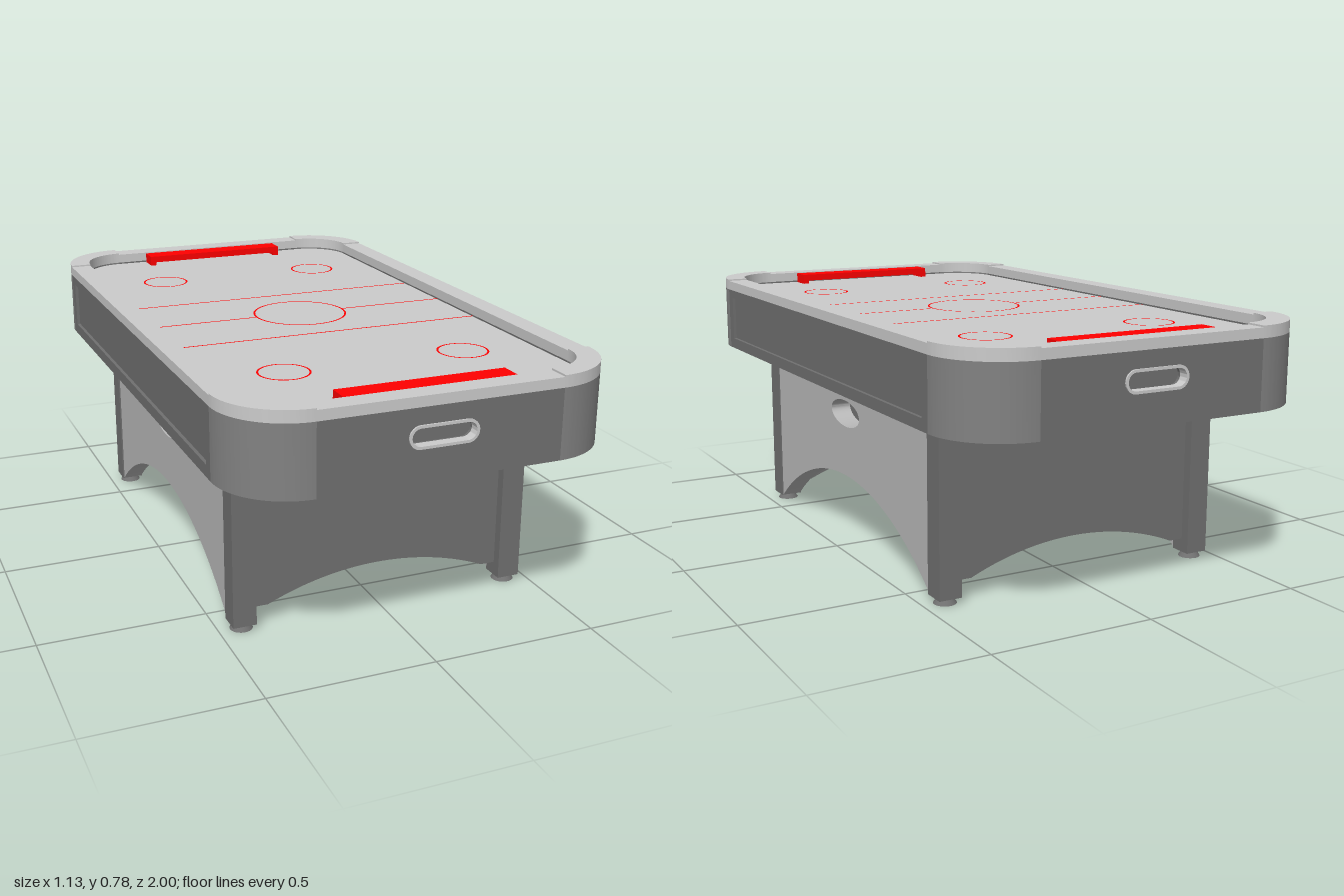
import * as THREE from 'three';
import { toCreasedNormals } from 'three/addons/utils/BufferGeometryUtils.js';

const paint = (color) => new THREE.MeshStandardMaterial({ color });
const light = paint(0xcccccc), skirtGrey = paint(0xb8b8b8);
const cornerGrey = paint(0x828282), dark = paint(0x707070), red = paint(0xff0000);

// Table outline: corner centres, radii and heights
const CX = 0.357, CZ = 0.785, R_OUT = 0.21, R_IN = 0.143, THICK = R_OUT - R_IN;
const Y_BOTTOM = 0.538, Y_CAP = 0.745, Y_FIELD = 0.74;
const CORNERS = [[1, 1], [-1, 1], [-1, -1], [1, -1]];

export function createModel() {
  const model = new THREE.Group();

  const add = (name, geometry, material, x = 0, y = 0, z = 0, parent = model) => {
    const mesh = new THREE.Mesh(geometry, material);
    mesh.name = name;
    mesh.position.set(x, y, z);
    parent.add(mesh);
  };
  const box = (name, material, w, h, d, x, y, z, parent) =>
    add(name, new THREE.BoxGeometry(w, h, d), material, x, y, z, parent);
  const extrude = (shape, depth) => toCreasedNormals(
    new THREE.ExtrudeGeometry(shape, { depth, bevelEnabled: false, curveSegments: 24 }), 0.5);
  // Plan shapes are drawn in x / -z and raised along y
  const raise = (shape, height) => extrude(shape, height).rotateX(-Math.PI / 2);

  const rect = (Type, w, y0, y1) => new Type([
    new THREE.Vector2(-w, y0), new THREE.Vector2(w, y0),
    new THREE.Vector2(w, y1), new THREE.Vector2(-w, y1)]);
  const stadium = (Type, w, r, cy) => {
    const s = new Type();
    s.absarc(w - r, cy, r, -Math.PI / 2, Math.PI / 2, false);
    s.absarc(r - w, cy, r, Math.PI / 2, Math.PI * 1.5, false);
    s.closePath();
    return s;
  };
  // Skirt board whose lower edge is an arch between two short shoulders
  const archBoard = (width, span, base, top) => {
    const rise = top - base, r = (span * span + rise * rise) / (2 * rise);
    const half = Math.asin(span / r);
    const s = new THREE.Shape();
    s.moveTo(-width, Y_BOTTOM);
    s.lineTo(-width, base);
    s.absarc(0, top - r, r, Math.PI / 2 + half, Math.PI / 2 - half, true);
    s.lineTo(width, base);
    s.lineTo(width, Y_BOTTOM);
    s.closePath();
    return s;
  };

  // Playing bed with rounded corners, and the boards under the aprons
  const bed = new THREE.Shape();
  CORNERS.forEach(([sx, sy], k) =>
    bed.absarc(sx * CX, sy * CZ, R_IN, k * Math.PI / 2, (k + 1) * Math.PI / 2, false));
  bed.closePath();
  add('playingBed', raise(bed, Y_FIELD - Y_BOTTOM), light, 0, Y_BOTTOM, 0);
  box('undersideLong', light, 2 * CX, 0.002, 2 * (CZ + R_OUT) - 0.008, 0, Y_BOTTOM, 0);
  box('undersideWide', light, 2 * (CX + R_OUT) - 0.008, 0.002, 2 * CZ, 0, Y_BOTTOM, 0);

  // Rounded corner blocks and their slightly taller caps
  CORNERS.forEach(([sx, sy], k) => {
    const a = k * Math.PI / 2, b = a + Math.PI / 2;
    const sector = new THREE.Shape();
    sector.absarc(sx * CX, sy * CZ, R_OUT, a, b, false);
    sector.absarc(sx * CX, sy * CZ, R_IN, b, a, true);
    sector.closePath();
    add('cornerBlock', raise(sector, Y_CAP - Y_BOTTOM), cornerGrey, 0, Y_BOTTOM, 0);
    add('cornerCap', raise(sector, 0.035), light, 0, Y_CAP, 0);
  });

  // End assembly, built facing +z: apron with handle slot, rail, goal, skirt
  const makeEnd = () => {
    const end = new THREE.Group();
    const zIn = CZ + R_IN, slotY = 0.664;
    const apron = rect(THREE.Shape, CX, Y_BOTTOM, Y_CAP);
    apron.holes.push(stadium(THREE.Path, 0.096, 0.028, slotY));
    add('endApron', extrude(apron, THICK), dark, 0, 0, zIn, end);
    box('endRail', light, 2 * CX, 0.03, THICK, 0, Y_CAP + 0.015, zIn + THICK / 2, end);

    const rim = stadium(THREE.Shape, 0.102, 0.033, slotY);
    rim.holes.push(stadium(THREE.Path, 0.094, 0.025, slotY));
    add('handleRim', extrude(rim, 0.03), light, 0, 0, 0.97, end);
    add('handleRecess', extrude(stadium(THREE.Shape, 0.096, 0.028, slotY), 0.03), dark, 0, 0, zIn, end);

    // Goal bridge on two short posts
    box('goalBar', red, 0.508, 0.022, 0.067, 0, 0.762, 0.889, end);
    for (const s of [-1, 1])
      box('goalPost', red, 0.02, 0.014, 0.067, s * 0.244, 0.746, 0.889, end);

    add('endSkirt', extrude(archBoard(0.4, 0.35, 0.061, 0.134), 0.03), dark, 0, 0, 0.592, end);
    return end;
  };

  // Side assembly, built facing +z and then turned to face sideways
  const makeSide = () => {
    const side = new THREE.Group();
    const zIn = CX + R_IN;
    const apron = rect(THREE.Shape, CZ, Y_BOTTOM, Y_CAP);
    apron.holes.push(rect(THREE.Path, 0.75, 0.573, 0.718));
    add('sideApron', extrude(apron, THICK), dark, 0, 0, zIn, side);
    box('sidePanel', dark, 1.5, 0.145, THICK - 0.01, 0, 0.6455, zIn + (THICK - 0.01) / 2, side);
    box('sideRail', light, 2 * CZ, 0.03, THICK, 0, Y_CAP + 0.015, zIn + THICK / 2, side);

    // Thick side skirt with a tall arch and an oval opening
    const skirt = archBoard(0.585, 0.58, 0.02, 0.228);
    const oval = new THREE.Path();
    oval.absellipse(0, 0.43, 0.108, 0.042, 0, Math.PI * 2, false);
    skirt.holes.push(oval);
    add('sideSkirt', extrude(skirt, 0.064), skirtGrey, 0, 0, 0.398, side);
    return side;
  };

  for (const s of [1, -1]) {
    const end = makeEnd();
    end.name = s > 0 ? 'frontEnd' : 'backEnd';
    end.rotation.y = s > 0 ? 0 : Math.PI;
    const side = makeSide();
    side.name = s > 0 ? 'leftSide' : 'rightSide';
    side.rotation.y = s * Math.PI / 2;
    model.add(end, side);
  }

  // Legs on tapered feet
  for (const sx of [-1, 1]) for (const sz of [-1, 1]) {
    box('leg', dark, 0.071, 0.52, 0.071, sx * 0.431, 0.279, sz * 0.615);
    add('foot', new THREE.CylinderGeometry(0.02, 0.034, 0.02, 24), dark, sx * 0.431, 0.01, sz * 0.615);
  }

  // Field markings
  const flat = (name, geometry, x, z) =>
    add(name, geometry.rotateX(-Math.PI / 2), red, x, Y_FIELD + 0.002, z);
  const line = (x0, x1, z) =>
    flat('fieldLine', new THREE.PlaneGeometry(x1 - x0, 0.006), (x0 + x1) / 2, z);
  const circle = (name, r, x, z) => flat(name, new THREE.RingGeometry(r - 0.006, r, 48), x, z);
  line(-0.5, 0.5, 0.243);
  line(-0.5, 0.5, -0.243);
  line(-0.5, -0.147, 0);
  line(0.147, 0.5, 0);
  circle('centreCircle', 0.15, 0, 0);
  for (const sx of [-1, 1]) for (const sz of [-1, 1])
    circle('faceOffCircle', 0.077, sx * 0.28, sz * 0.576);

  return model;
}
